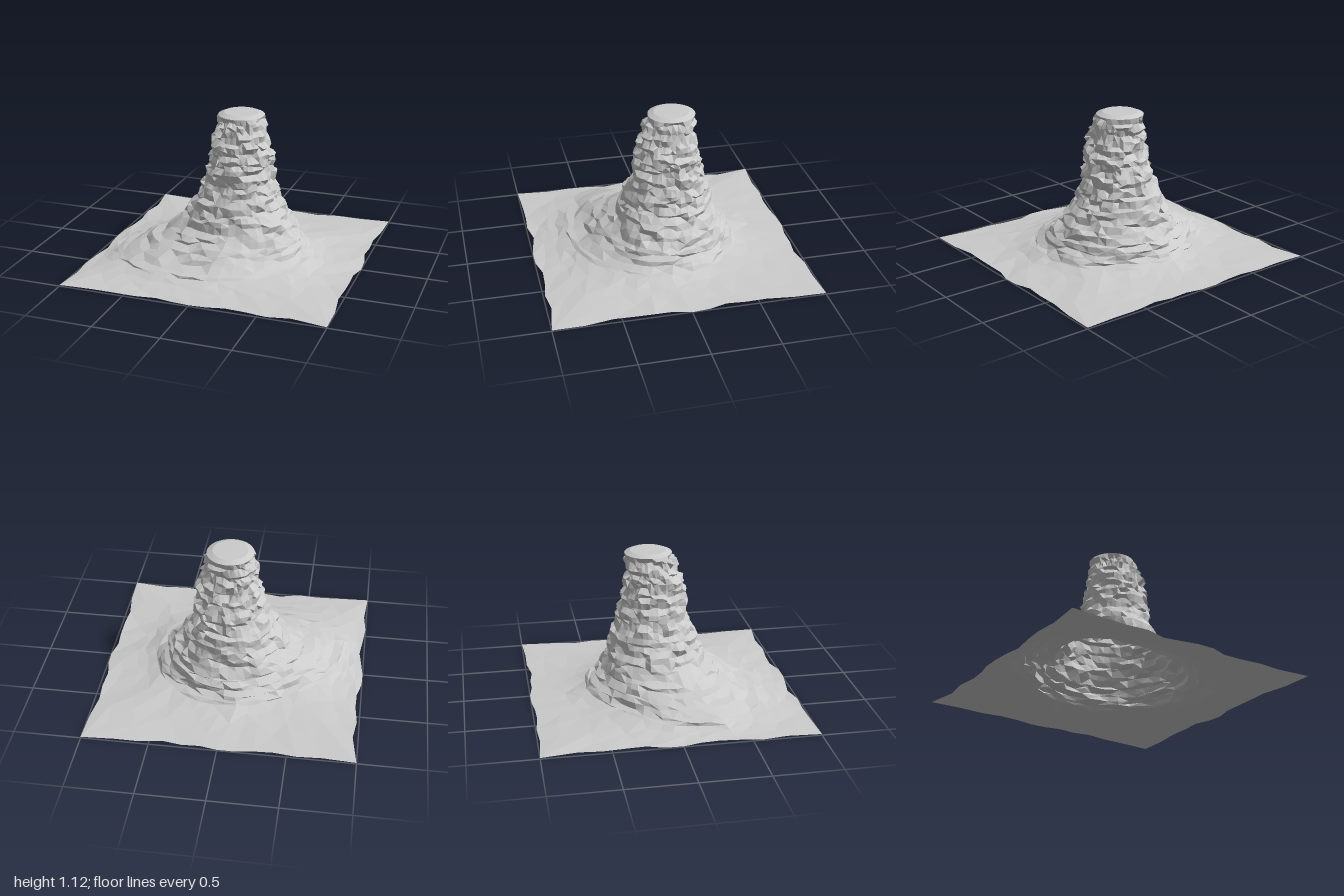
import * as THREE from 'three';

const SEGMENTS = 48;

// Contours from the summit down: y, left x, right x, back z, front z
const CONTOURS = [
  [1.10, -0.15, 0.20, -0.255, 0.10],
  [1.00, -0.165, 0.225, -0.25, 0.14],
  [0.90, -0.185, 0.25, -0.255, 0.185],
  [0.80, -0.20, 0.28, -0.275, 0.20],
  [0.60, -0.25, 0.30, -0.33, 0.225],
  [0.50, -0.29, 0.32, -0.36, 0.27],
  [0.40, -0.36, 0.365, -0.385, 0.31],
  [0.30, -0.42, 0.44, -0.41, 0.355],
  [0.20, -0.54, 0.52, -0.48, 0.44],
  [0.15, -0.63, 0.53, -0.50, 0.52],
  [0.10, -0.73, 0.58, -0.54, 0.62],
  [0.06, -0.82, 0.65, -0.60, 0.72],
];

// Seeded random numbers
function seeded(seed) {
  return () => {
    seed = (seed * 1664525 + 1013904223) % 4294967296;
    return seed / 4294967296;
  };
}

// Contour at any height, interpolated between the table rows
function contourAt(y) {
  let i = 0;
  while (i < CONTOURS.length - 2 && CONTOURS[i + 1][0] > y) i++;
  const a = CONTOURS[i], b = CONTOURS[i + 1];
  const t = (y - a[0]) / (b[0] - a[0]);
  return a.map((v, k) => v + (b[k] - v) * t);
}

// Point on a contour; low contours bulge to one front corner
function contourPoint(y, angle) {
  const [, x0, x1, z0, z1] = contourAt(y);
  const c = Math.cos(angle), s = Math.sin(angle);
  const low = THREE.MathUtils.clamp((0.35 - y) / 0.3, 0, 1);
  const bulge = c < 0 ? 1 - 0.14 * low * Math.sin(2 * angle) : 1;
  return new THREE.Vector3(
    (x0 + x1) / 2 + (x1 - x0) / 2 * c * bulge, y,
    (z0 + z1) / 2 + (z1 - z0) / 2 * s * bulge);
}

// Rings of points are joined into a faceted skin
function skin(rings, name, material) {
  const positions = [], index = [];
  rings.forEach(ring => ring.forEach(p => positions.push(p.x, p.y, p.z)));
  for (let r = 0; r < rings.length - 1; r++) {
    for (let i = 0; i < SEGMENTS; i++) {
      const j = (i + 1) % SEGMENTS;
      const a = r * SEGMENTS + i, b = r * SEGMENTS + j;
      const c = a + SEGMENTS, d = b + SEGMENTS;
      if ((i + r) % 2) index.push(a, b, c, b, d, c);
      else index.push(a, b, d, a, d, c);
    }
  }
  const geometry = new THREE.BufferGeometry();
  geometry.setAttribute('position', new THREE.Float32BufferAttribute(positions, 3));
  geometry.setIndex(index);
  geometry.computeVertexNormals();
  const mesh = new THREE.Mesh(geometry, material);
  mesh.name = name;
  return mesh;
}

export function createModel() {
  const random = seeded(17);
  const material = new THREE.MeshStandardMaterial({
    color: 0xcccccc, flatShading: true, side: THREE.DoubleSide,
  });
  const group = new THREE.Group();
  group.name = 'rockPillar';
  const angles = Array.from({ length: SEGMENTS }, (_, i) => i / SEGMENTS * Math.PI * 2);

  // Summit cap, slightly domed
  const rim = angles.map(a => contourPoint(1.10, a));
  const centre = new THREE.Vector3(0.025, 1.12, -0.08);
  const cap = [0, 0.75, 1].map(t => rim.map(p => {
    const q = centre.clone().lerp(p, t);
    if (t === 0.75) q.y = 1.118;
    return q;
  }));
  group.add(skin(cap, 'summit', material));

  // Rock walls: layered strata broken into random horizontal shards
  const heights = [];
  for (let y = 1.07; y > 0.24; y -= 0.034) heights.push(y);
  heights.push(0.215, 0.19, 0.165, 0.14, 0.115, 0.09, 0.075, 0.06);
  const walls = [rim];
  heights.forEach((y, r) => {
    const gap = (r ? heights[r - 1] : 1.10) - y;
    let push = 0, lift = 0, left = 0;
    walls.push(angles.map(angle => {
      if (left-- <= 0) {
        push = -0.035 + random() * 0.05;
        lift = (random() - 0.5) * gap * 0.9;
        left = Math.floor(random() * 4);
      }
      const p = contourPoint(y, angle);
      const out = push + (random() - 0.5) * 0.012;
      p.x += Math.cos(angle) * out;
      p.z += Math.sin(angle) * out;
      p.y += lift;
      return p;
    }));
  });
  group.add(skin(walls, 'rockWalls', material));

  // Ground sheet: spreads from the foot of the rock to a ragged square edge
  const foot = walls[walls.length - 1];
  const ground = [foot];
  const edge = angles.map((angle, i) => {
    const c = Math.cos(angle), s = Math.sin(angle);
    const k = 1 / Math.max(Math.abs(c), Math.abs(s));
    const ragged = i % 6 === 0 ? 1 : 1 - random() * 0.04;
    return new THREE.Vector3(c * k * ragged, 0.004 + random() * 0.008, s * k * ragged);
  });
  [0.2, 0.42, 0.7].forEach(t => ground.push(foot.map((p, i) => {
    const q = p.clone().lerp(edge[i], t + (random() - 0.5) * 0.1);
    q.y = 0.01 + 0.045 * Math.pow(1 - t, 1.8) + (random() - 0.5) * 0.008;
    return q;
  })));
  edge[0].y = 0;
  ground.push(edge);
  group.add(skin(ground, 'groundSheet', material));

  return group;
}
